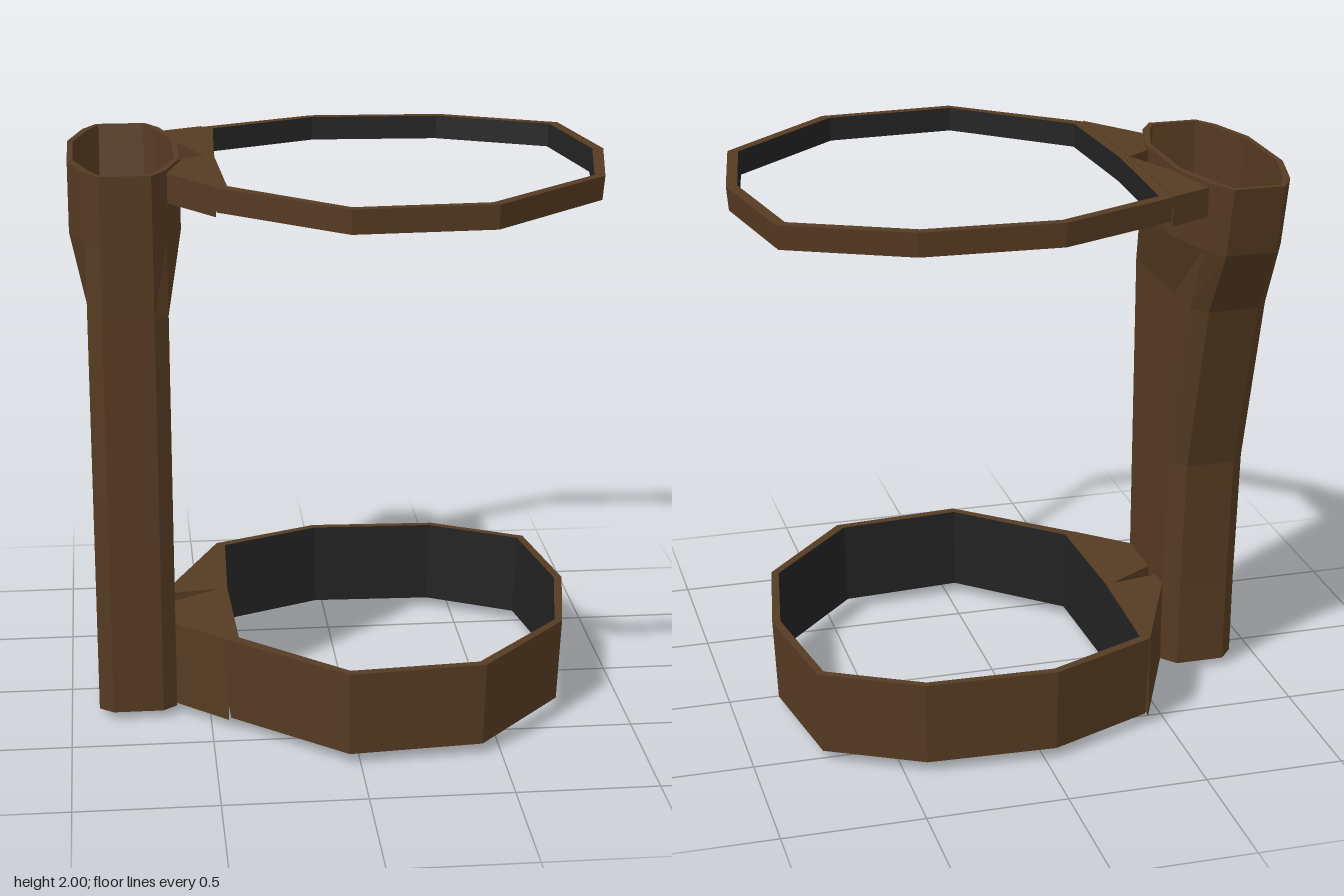
import * as THREE from 'three';

const leather = new THREE.MeshStandardMaterial({ color: 0x563b22 });
leather.name = 'brown leather';
const lining = new THREE.MeshStandardMaterial({ color: 0x222222 });
lining.name = 'dark lining';

// Skin a series of closed loops (counterclockwise from above) with flat quads
function loft(loops) {
  const pos = [];
  const tri = (a, b, c) => {
    const area = new THREE.Triangle(a, b, c).getArea();
    if (area > 1e-7) pos.push(...a.toArray(), ...b.toArray(), ...c.toArray());
  };
  for (let k = 0; k < loops.length - 1; k++) {
    const lo = loops[k], hi = loops[k + 1], n = lo.length;
    for (let i = 0; i < n; i++) {
      const j = (i + 1) % n;
      tri(lo[i], lo[j], hi[j]);
      tri(lo[i], hi[j], hi[i]);
    }
  }
  const g = new THREE.BufferGeometry();
  g.setAttribute('position', new THREE.Float32BufferAttribute(pos, 3));
  g.computeVertexNormals();
  return g;
}

function part(name, geometry, material) {
  const m = new THREE.Mesh(geometry, material);
  m.name = name;
  return m;
}

const level = (points, y, s = 1) => points.map(([x, z]) => new THREE.Vector3(x * s, y, z * s));

// Twelve-sided sheath section: back edge z, side half width w, wall inset t
function section(y, back, w, t = 0) {
  const f = 0.285 - t, b = back + t, h = 0.14 - t, e = 0.09 - t * 0.4;
  const len = f - b, sw = w - t;
  const c = 0.04 + (w - 0.14) * 0.75;
  const half = [
    [e, f], [h, f - c], [sw, f - 0.3 * len], [sw, b + 0.33 * len], [h, b + 0.06 + (w - 0.14) * 0.5], [e, b],
  ];
  const mirrored = half.map(([x, z]) => [-x, z]).reverse();
  return level([...half, ...mirrored].map(([x, z]) => [x - 0.76, z]), y);
}

function sheath() {
  // height, back edge, side half width
  const profile = [
    [0.03, -0.19, 0.14], [0.35, -0.2, 0.14], [0.85, -0.235, 0.14],
    [1.5, -0.41, 0.14], [1.75, -0.56, 0.195], [2, -0.62, 0.195],
  ];
  const outside = profile.map(([y, b, w]) => section(y, b, w));
  const inside = profile.map(([y, b, w], i) => section(i ? y : 0.05, b, w, 0.02)).reverse();
  const shrink = (loop, y, s) => loop.map((p) => new THREE.Vector3(
    -0.76 + (p.x + 0.76) * s, y, 0.045 + (p.z - 0.045) * s));
  const base = outside[0], floor = inside[inside.length - 1];
  return loft([
    shrink(base, 0, 0), shrink(base, 0, 0.65), ...outside,
    ...inside, shrink(floor, 0.05, 0),
  ]);
}

// Hoop with leather outside and edges, dark inside
function hoop(name, outer, inner, y0, y1, taper) {
  const g = new THREE.Group();
  g.name = name;
  const ob = level(outer, y0, taper), ot = level(outer, y1);
  const ib = level(inner, y0, taper), it = level(inner, y1);
  g.add(part(name + 'Band', loft([ib, ob, ot, it]), leather));
  g.add(part(name + 'Lining', loft([it, ib]), lining));
  return g;
}

// Horizontal plate joining a hoop to the sheath
function wedge(name, plan, y0, y1) {
  const shape = new THREE.Shape(plan.map(([x, z]) => new THREE.Vector2(x, z)));
  const g = new THREE.ExtrudeGeometry(shape, { depth: y1 - y0, bevelEnabled: false });
  g.rotateX(Math.PI / 2).translate(0, y1, 0);
  return part(name, g, leather);
}

export function createModel() {
  const model = new THREE.Group();
  model.name = 'beltHolster';
  model.add(part('sheath', sheath(), leather));

  // Upper hoop
  model.add(hoop('upperHoop',
    [[-0.46, 0.42], [-0.04, 0.775], [0.45, 0.75], [0.87, 0.36], [0.95, -0.08],
      [0.87, -0.56], [0.45, -0.76], [-0.04, -0.78], [-0.46, -0.6], [-0.48, -0.09]],
    [[-0.42, 0.395], [-0.035, 0.74], [0.43, 0.715], [0.835, 0.345], [0.91, -0.08],
      [0.835, -0.535], [0.435, -0.725], [-0.035, -0.745], [-0.42, -0.57], [-0.44, -0.09]],
    1.9, 1.985, 0.992));
  model.add(wedge('upperBackWedge', [[-0.46, -0.6], [-0.61, -0.53], [-0.568, -0.32], [-0.475, -0.09]], 1.885, 1.988));
  model.add(wedge('upperFrontWedge', [[-0.475, -0.09], [-0.568, -0.02], [-0.615, 0.2], [-0.46, 0.42]], 1.885, 1.988));

  // Lower hoop
  model.add(hoop('lowerHoop',
    [[-0.44, 0.4], [-0.04, 0.745], [0.44, 0.705], [0.77, 0.34], [0.845, -0.08],
      [0.77, -0.53], [0.43, -0.71], [-0.04, -0.73], [-0.43, -0.565], [-0.45, -0.09]],
    [[-0.4, 0.38], [-0.035, 0.71], [0.42, 0.675], [0.745, 0.325], [0.815, -0.08],
      [0.745, -0.51], [0.42, -0.685], [-0.035, -0.7], [-0.4, -0.54], [-0.415, -0.09]],
    0.04, 0.345, 0.982));
  model.add(wedge('lowerBackWedge', [[-0.43, -0.565], [-0.62, -0.14], [-0.62, -0.06], [-0.44, -0.09]], 0.035, 0.346));
  model.add(wedge('lowerFrontWedge', [[-0.44, -0.09], [-0.62, 0.02], [-0.62, 0.235], [-0.44, 0.4]], 0.035, 0.346));
  return model;
}
